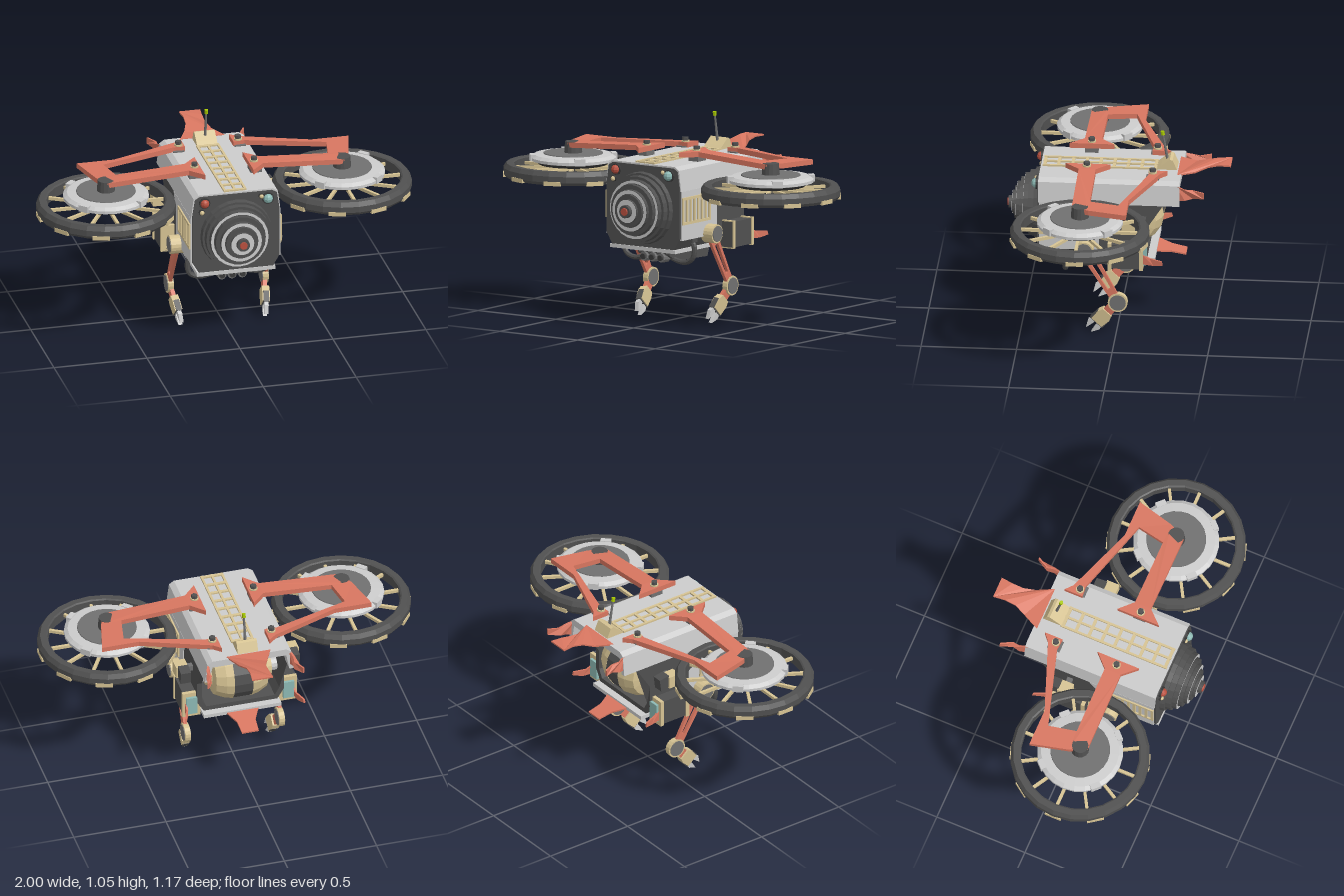
import * as THREE from 'three';

const C = { light: 0xcccccc, mid: 0x707070, dark: 0x505050, black: 0x3a3a3a, tan: 0xd6c393, orange: 0xd87660, teal: 0x8db9b4, lime: 0xa8c800, red: 0xb8503f };
const mats = {};
const mat = (c) => (mats[c] ??= new THREE.MeshStandardMaterial({ color: C[c], flatShading: true, side: THREE.DoubleSide }));

function add(parent, name, geo, color, x = 0, y = 0, z = 0) {
  const m = new THREE.Mesh(geo, mat(color));
  m.name = name;
  m.position.set(x, y, z);
  parent.add(m);
  return m;
}
function group(parent, name, x = 0, y = 0, z = 0) {
  const g = new THREE.Group();
  g.name = name;
  g.position.set(x, y, z);
  parent.add(g);
  return g;
}
const box = (w, h, d) => new THREE.BoxGeometry(w, h, d);
const cyl = (r0, r1, h, n = 20) => new THREE.CylinderGeometry(r0, r1, h, n);
const cylX = (r0, r1, h, n = 20) => cyl(r0, r1, h, n).rotateZ(-Math.PI / 2);
const cylZ = (r0, r1, h, n = 20) => cyl(r0, r1, h, n).rotateX(Math.PI / 2);
const shape = (pts) => new THREE.Shape(pts.map(([x, y]) => new THREE.Vector2(x, y)));
const extrude = (s, depth) => new THREE.ExtrudeGeometry(s, { depth, bevelEnabled: false });
const lathe = (pts, n) => new THREE.LatheGeometry(pts.map(([r, y]) => new THREE.Vector2(r, y)), n);
// closed outline symmetric about x = 0, given its right half
const mirrored = (half) => [...half, ...half.map(([x, y]) => [-x, y]).reverse()];
// outline in (z, y) with thickness along x
const sidePlate = (pts, t) => extrude(shape(pts), t).rotateY(-Math.PI / 2).translate(t / 2, 0, 0);
// outline in (x, z) with thickness along y
const flatPlate = (pts, t) => extrude(shape(pts.map(([x, z]) => [x, -z])), t).rotateX(-Math.PI / 2);
function reshape(geo, rule) {
  const p = geo.attributes.position, v = new THREE.Vector3();
  for (let i = 0; i < p.count; i++) {
    rule(v.fromBufferAttribute(p, i));
    p.setXYZ(i, v.x, v.y, v.z);
  }
  geo.computeVertexNormals();
  return geo;
}

function addBody(root) {
  const g = group(root, 'body');
  // solid front block and hollow rear
  const section = mirrored([[0.195, 0.85], [0.22, 0.835], [0.235, 0.74], [0.235, 0.48], [0.2, 0.42]]);
  add(g, 'hull', extrude(shape(section), 0.365), 'dark', 0, 0, 0.05);
  const skirt = mirrored([[0.21, 0.75], [0.236, 0.75], [0.236, 0.6], [0.236, 0.48], [0.2, 0.42]])
    .slice(1, -1).concat([[-0.21, 0.75], [-0.21, 0.6], [-0.21, 0.49], [-0.185, 0.445], [0.185, 0.445], [0.21, 0.49], [0.21, 0.6], [0.21, 0.75]]);
  add(g, 'rearSkirt', reshape(extrude(shape(skirt), 0.3), (v) => {
    v.z = v.z > 0.1 ? 0.06 : -0.16 - Math.max(0, v.y - 0.6) * 0.65;
  }), 'dark');
  const roof = mirrored([[0.2, 0.858], [0.227, 0.84], [0.241, 0.73], [0.217, 0.73], [0.2, 0.82]]);
  add(g, 'roof', extrude(shape(roof), 0.74), 'light', 0, 0, -0.33);
  add(g, 'floorPlate', box(0.42, 0.02, 0.62), 'light', 0, 0.41, 0.11);
  // chin housing
  add(g, 'chinBox', extrude(shape([[0.32, 0.4], [0.32, 0.37], [0.26, 0.335], [-0.02, 0.325], [-0.05, 0.4]]), 0.2)
    .rotateY(-Math.PI / 2), 'dark', 0.1);
  for (const x of [-0.055, 0, 0.055]) {
    add(g, 'chinLamp', cylZ(0.024, 0.028, 0.05, 10), 'mid', x, 0.355, 0.31);
    add(g, 'chinLens', cylZ(0.015, 0.015, 0.01, 10), 'black', x, 0.355, 0.34);
  }
  // roof grille
  for (const x of [-0.055, 0, 0.055]) add(g, 'grilleRail', box(0.012, 0.014, 0.6), 'tan', x, 0.86, 0.1);
  for (let i = 0; i < 9; i++) add(g, 'grilleRung', box(0.12, 0.012, 0.016), 'tan', 0, 0.86, -0.19 + i * 0.0725);
  // antenna
  add(g, 'antennaBase', sidePlate([[-0.19, 0.855], [-0.22, 0.88], [-0.265, 0.915], [-0.28, 0.91], [-0.305, 0.855]], 0.11), 'tan');
  const mast = group(g, 'antenna', 0, 0.89, -0.25);
  mast.rotation.x = 0.17;
  add(mast, 'antennaRod', cyl(0.005, 0.008, 0.15, 8), 'mid', 0, 0.075);
  add(mast, 'antennaTip', cyl(0.01, 0.01, 0.022, 8), 'lime', 0, 0.155);
  // nose of stepped rings
  const steps = [[0.195, 0.44], [0.18, 0.47], [0.163, 0.495], [0.14, 0.517], [0.115, 0.535], [0.09, 0.548], [0.065, 0.56], [0.035, 0.582]];
  steps.forEach(([r, z], i) => {
    add(g, 'noseRing', cylZ(r * 0.96, r, z - 0.4, 24), 'dark', 0, 0.625, (z + 0.4) / 2);
    const next = steps[i + 1];
    if (next && i > 1 && i % 2 === 0) add(g, 'noseBand', new THREE.RingGeometry(next[0], r * 0.95, 24), 'light', 0, 0.625, z + 0.002);
  });
  add(g, 'noseTip', cylZ(0.02, 0.022, 0.01, 12), 'red', 0, 0.625, 0.583);
  // front lamps
  for (const [x, y, r, c] of [[-0.17, 0.815, 0.024, 'red'], [0.17, 0.81, 0.026, 'teal'], [-0.185, 0.765, 0.013, 'tan'], [0.135, 0.825, 0.012, 'tan']]) {
    add(g, 'lampRim', cylZ(r * 1.25, r * 1.25, 0.012, 12), 'black', x, y, 0.42);
    add(g, 'lamp', new THREE.SphereGeometry(r, 10, 6), c, x, y, 0.425);
  }
  // engine drum in the rear cavity
  const half = [[0, 0.175], [0.06, 0.175], [0.07, 0.15], [0.115, 0.14], [0.14, 0.09], [0.15, 0.05]];
  for (const s of [-1, 1]) add(g, 'engineDrum', lathe(half.map(([r, y]) => [r, y * s]), 16).rotateZ(-Math.PI / 2), 'tan', 0, 0.6, -0.085);
  add(g, 'engineBand', cylX(0.147, 0.147, 0.105, 16), 'dark', 0, 0.6, -0.085);
  add(g, 'engineShaft', cylX(0.04, 0.04, 0.43, 12), 'light', 0, 0.6, -0.085);
  // tail plume above and small flap below
  const plume = [[0.12, -0.31], [0.075, -0.4], [0.052, -0.46], [0.05, -0.52], [0.057, -0.585]];
  const rise = (z) => (z > -0.4 ? 0.852 : 0.852 + Math.min(0.033, (-0.4 - z) * 0.35));
  add(g, 'tailPlume', reshape(flatPlate(mirrored(plume), 0.008), (v) => { v.y += rise(v.z); }), 'orange');
  add(g, 'bellyFlap', reshape(flatPlate(mirrored([[0.09, -0.19], [0.05, -0.27], [0.045, -0.35]]), 0.008), (v) => {
    v.y += 0.405 + (v.z + 0.19) * 0.2;
  }), 'orange');
}

function addSide(g) {
  // side panel with grille
  add(g, 'sidePanel', sidePlate([[0.405, 0.47], [0.09, 0.47], [0.09, 0.64], [0.04, 0.73], [0.405, 0.73]], 0.012), 'light', 0.236);
  for (const y of [0.56, 0.69]) add(g, 'ventRail', box(0.014, 0.014, 0.25), 'tan', 0.243, y, 0.28);
  for (let i = 0; i < 8; i++) add(g, 'ventBar', box(0.014, 0.13, 0.014), 'tan', 0.243, 0.625, 0.163 + i * 0.0335);
  // upper thruster block
  add(g, 'upperPodStrut', box(0.08, 0.03, 0.03), 'mid', 0.26, 0.65, -0.07);
  add(g, 'upperPod', box(0.065, 0.065, 0.07), 'tan', 0.3, 0.65, -0.07);
  add(g, 'upperPodCap', sidePlate([[-0.1, 0.69], [-0.1, 0.625], [-0.15, 0.61], [-0.16, 0.68]], 0.055), 'dark', 0.295);
  // lower thruster pod
  const pod = (h, z, d, c) => add(g, 'lowerPod', box(0.085 + h, 0.135 + h, d), c, 0.262, 0.462, z);
  pod(0, -0.05, 0.18, 'dark');
  pod(0.012, 0.03, 0.02, 'tan');
  pod(0.012, -0.135, 0.02, 'tan');
  add(g, 'podNozzle', box(0.06, 0.1, 0.02), 'teal', 0.262, 0.462, -0.15);
  add(g, 'podFin', reshape(sidePlate([[-0.14, 0.475], [-0.18, 0.455], [-0.245, 0.45], [-0.25, 0.43], [-0.2, 0.418], [-0.14, 0.42]], 0.01), (v) => {
    v.x += 0.29 + Math.max(0, -v.z - 0.17) * 0.4;
  }), 'orange');
  // rear side fin
  add(g, 'rearFin', reshape(sidePlate([[-0.31, 0.84], [-0.36, 0.825], [-0.4, 0.82], [-0.46, 0.82], [-0.46, 0.787], [-0.4, 0.775], [-0.36, 0.765], [-0.31, 0.755]], 0.01), (v) => {
    v.x += v.z > -0.33 ? 0.22 : v.z > -0.38 ? 0.235 : v.z > -0.42 ? 0.228 : 0.258;
  }), 'orange');
  // looping hose
  const hose = [[0.205, 0.455], [0.225, 0.42], [0.215, 0.36], [0.17, 0.335], [0.11, 0.34], [0.06, 0.36]];
  add(g, 'hose', new THREE.TubeGeometry(new THREE.CatmullRomCurve3(hose.map(([x, y]) => new THREE.Vector3(x, y, 0.27))), 20, 0.014, 8), 'dark');
  add(g, 'hoseCollar', box(0.05, 0.03, 0.045), 'dark', 0.205, 0.46, 0.27);

  addRotor(g);
  addManipulator(g);

  // rotor support frame
  const frame = [[0.13, 0.04], [0.18, 0.11], [0.57, 0.11], [0.6, -0.04], [0.19, -0.165], [0.13, -0.16],
    [0.13, -0.26], [0.17, -0.225], [0.53, -0.09], [0.73, -0.09], [0.68, 0.11], [0.64, 0.2], [0.2, 0.2], [0.13, 0.275]];
  // the inner gap is traced as an opening between the beams
  const s = shape([[0.13, -0.04], [0.2, -0.11], [0.57, -0.11], [0.57, -0.11], ...frame.slice(3).map(([x, z]) => [x, -z])].filter((p, i) => i !== 3));
  add(g, 'supportFrame', reshape(extrude(s, 0.027).rotateX(-Math.PI / 2), (v) => {
    v.y += 0.857 + (v.z > 0.02 ? 0.027 * THREE.MathUtils.clamp((0.64 - v.x) / 0.42, 0, 1) : 0);
  }), 'orange');
  for (const [z, y] of [[0.16, 0.91], [-0.185, 0.884]]) {
    add(g, 'boltSpacer', box(0.06, 0.04, 0.07), 'mid', 0.165, y - 0.04, z);
    add(g, 'boltWasher', cyl(0.022, 0.022, 0.008, 12), 'tan', 0.16, y + 0.004, z);
    add(g, 'bolt', cyl(0.017, 0.017, 0.022, 6), 'dark', 0.16, y + 0.014, z);
  }
}

function addRotor(side) {
  const g = group(side, 'rotor', 0.635, 0, 0.157);
  add(g, 'rim', lathe([[0.31, 0.77], [0.31, 0.715], [0.32, 0.705], [0.355, 0.705], [0.365, 0.72], [0.365, 0.752], [0.35, 0.775], [0.318, 0.775], [0.31, 0.77]], 24), 'dark');
  add(g, 'disc', lathe([[0, 0.79], [0.205, 0.785], [0.225, 0.79], [0.225, 0.805], [0.205, 0.82], [0.155, 0.824], [0, 0.824]], 24), 'light');
  add(g, 'discInset', cyl(0.155, 0.158, 0.008, 24), 'mid', 0, 0.824);
  add(g, 'underDisc', cyl(0.2, 0.18, 0.02, 24), 'black', 0, 0.778);
  add(g, 'mast', cyl(0.043, 0.048, 0.07, 14), 'dark', 0, 0.852);
  add(g, 'lowerHub', cyl(0.05, 0.035, 0.05, 14), 'dark', 0, 0.748);
  const ring = (n, start, fn) => {
    for (let i = 0; i < n; i++) {
      const p = group(g, 'spoke');
      p.rotation.y = start + (i / n) * Math.PI * 2;
      fn(p);
    }
  };
  ring(12, 0, (p) => { add(p, 'spokeBar', box(0.28, 0.016, 0.016), 'tan', 0.18, 0.745); });
  ring(10, 0, (p) => { add(p, 'rimPad', box(0.035, 0.022, 0.09), 'tan', 0.348, 0.714); });
  ring(4, Math.PI / 4, (p) => { add(p, 'discClip', box(0.03, 0.035, 0.055), 'light', 0.215, 0.806); });
}

function addManipulator(side) {
  // shoulder
  const arm = group(side, 'manipulator', 0.262, 0.483, 0.165);
  add(arm, 'shoulder', cylX(0.05, 0.05, 0.07, 18), 'tan');
  add(arm, 'shoulderCap', cylX(0.042, 0.042, 0.078, 18), 'mid');
  // slotted upper arm
  const upper = group(arm, 'upperArm');
  upper.rotation.x = 0.53;
  const link = shape([[-0.034, -0.03], [-0.024, -0.31], [0.024, -0.31], [0.034, -0.03]]);
  link.holes.push(new THREE.Path([[-0.014, -0.07], [0.014, -0.07], [0.01, -0.26], [-0.01, -0.26]].map(([x, y]) => new THREE.Vector2(x, y))));
  add(upper, 'upperLink', extrude(link, 0.018).rotateY(-Math.PI / 2), 'orange', 0.004);
  // elbow and forearm
  const fore = group(arm, 'forearm', -0.007, -0.298, -0.175);
  add(fore, 'elbow', cylX(0.052, 0.052, 0.03, 18), 'tan');
  add(fore, 'elbowCap', cylX(0.043, 0.043, 0.036, 18), 'mid');
  const hand = group(fore, 'hand');
  hand.rotation.set(-0.74, 0, -0.12);
  add(hand, 'wrist', box(0.022, 0.07, 0.05), 'orange', 0, -0.07);
  add(hand, 'palm', sidePlate([[-0.03, -0.08], [-0.04, -0.11], [-0.035, -0.165], [0.035, -0.165], [0.04, -0.11], [0.03, -0.08]], 0.04), 'tan');
  add(hand, 'knuckle', box(0.03, 0.06, 0.085), 'dark', 0, -0.14);
  for (const f of [-1, 1]) {
    add(hand, 'claw', sidePlate([[0.006, -0.16], [0.034, -0.16], [0.04, -0.19], [0.018, -0.232], [0.012, -0.2]].map(([z, y]) => [z * f, y]), 0.022), 'light');
  }
}

export function createModel() {
  const root = new THREE.Group();
  root.name = 'twinRotorDrone';
  addBody(root);
  for (const s of [1, -1]) {
    const g = group(root, s > 0 ? 'leftSide' : 'rightSide');
    g.scale.x = s;
    addSide(g);
  }
  return root;
}
